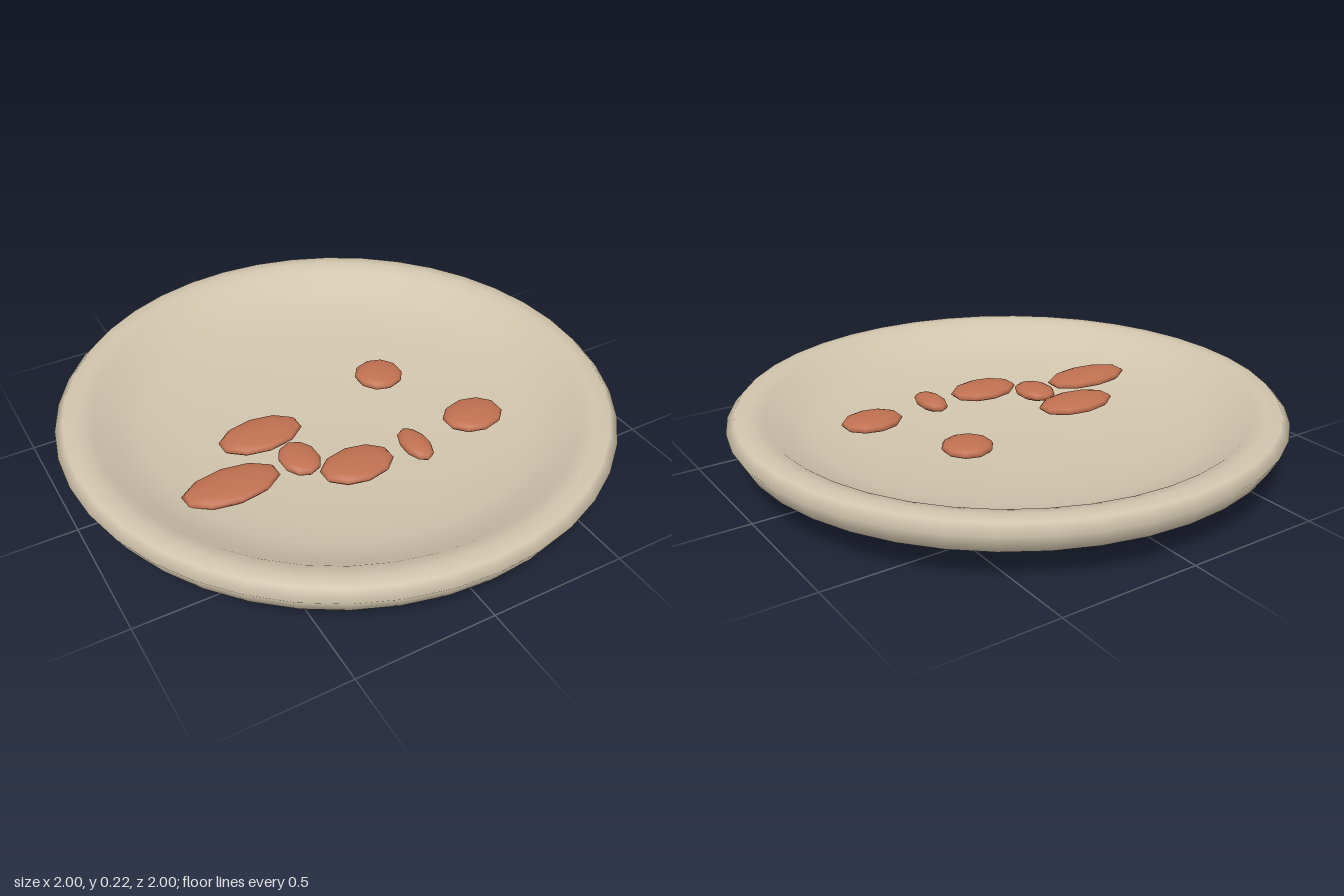
import * as THREE from 'three';

const SIDES = 40;
const clay = new THREE.MeshStandardMaterial({ color: 0xd0c4ac });
clay.name = 'pale clay';
const rust = new THREE.MeshStandardMaterial({ color: 0xbf7050 });
rust.name = 'rust brown';

function lathe(name, profile) {
  const points = profile.map(([r, y]) => new THREE.Vector2(r, y));
  const mesh = new THREE.Mesh(new THREE.LatheGeometry(points, SIDES), clay);
  mesh.name = name;
  return mesh;
}

export function createModel() {
  const model = new THREE.Group();
  model.name = 'plateWithNuts';

  // Plate: flat foot, then one smooth sweep up the wall, over the rim and into the bowl
  const plate = new THREE.Group();
  plate.name = 'plate';
  plate.add(lathe('foot', [[0, 0], [0.6, 0]]));
  plate.add(lathe('bowl', [
    [0.6, 0], [0.75, 0.03], [0.965, 0.125], [1, 0.19], [0.97, 0.222],
    [0.92, 0.225], [0.87, 0.213], [0.8, 0.163], [0.7, 0.13],
    [0.55, 0.105], [0.3, 0.083], [0, 0.075],
  ]));
  model.add(plate);

  // Nuts: flattened ten-sided ellipsoids, [x, z, half width]
  const nutShape = new THREE.SphereGeometry(1, 10, 8).rotateY(Math.PI / 2);
  const nuts = [
    [-0.51, 0.19, 0.178], [-0.305, -0.008, 0.158], [-0.245, 0.175, 0.071],
    [-0.087, 0.3, 0.137], [0.147, 0.305, 0.05], [0.42, 0.263, 0.116],
    [0.252, -0.12, 0.092],
  ];
  const nutGroup = new THREE.Group();
  nutGroup.name = 'nuts';
  nuts.forEach(([x, z, halfWidth], i) => {
    const nut = new THREE.Mesh(nutShape, rust);
    nut.name = `nut${i + 1}`;
    nut.position.set(x, 0.131, z);
    nut.scale.set(halfWidth, 0.027, 0.092);
    nutGroup.add(nut);
  });
  model.add(nutGroup);

  return model;
}
